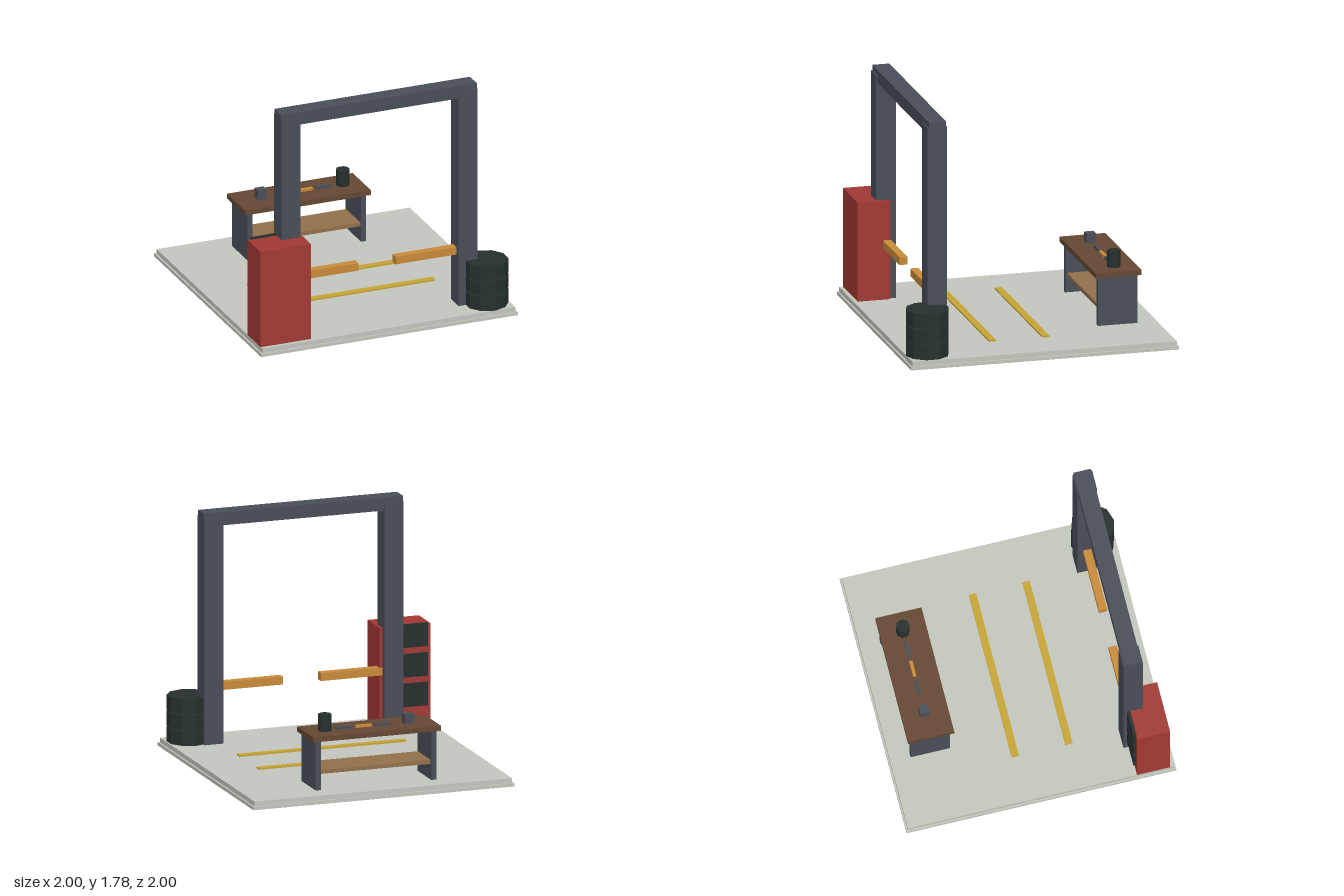
import * as THREE from 'three';

const mat = (name, color) => {
  const m = new THREE.MeshStandardMaterial({ color });
  m.name = name;
  return m;
};

export function createModel() {
  const concrete = mat('concrete', 0xc4c7be);
  const steel = mat('slate steel', 0x4a4e58);
  const red = mat('cabinet red', 0xa23a34);
  const rubber = mat('rubber black', 0x26302f);
  rubber.flatShading = true;
  const orange = mat('orange', 0xc98b3a);
  const yellow = mat('marking yellow', 0xc6a535);
  const darkWood = mat('dark wood', 0x654833);
  const lightWood = mat('light wood', 0x94704c);

  const model = new THREE.Group();
  model.name = 'garageBay';

  // Box given by its extents on each axis
  const box = (name, material, [x0, x1], [y0, y1], [z0, z1], parent = model) => {
    const mesh = new THREE.Mesh(new THREE.BoxGeometry(x1 - x0, y1 - y0, z1 - z0), material);
    mesh.position.set((x0 + x1) / 2, (y0 + y1) / 2, (z0 + z1) / 2);
    mesh.name = name;
    parent.add(mesh);
  };
  // Upright faceted cylinder standing on y
  const drum = (name, radius, height, x, y, z, parent) => {
    const mesh = new THREE.Mesh(new THREE.CylinderGeometry(radius, radius, height, 10), rubber);
    mesh.position.set(x, y + height / 2, z);
    mesh.name = name;
    parent.add(mesh);
  };
  const group = (name) => {
    const g = new THREE.Group();
    g.name = name;
    model.add(g);
    return g;
  };
  // Same x extent on either side
  const side = (s, a, b) => (s > 0 ? [a, b] : [-b, -a]);

  // Floor slab with a stepped rim
  const floor = group('floor');
  box('floorRim', concrete, [-1, 1], [0, 0.025], [-1, 1], floor);
  box('floorSlab', concrete, [-0.987, 0.987], [0.025, 0.06], [-0.987, 0.987], floor);

  // Floor markings
  for (const z of [-0.105, 0.293]) {
    box('floorStripe', yellow, [-0.64, 0.64], [0.06, 0.071], [z - 0.027, z + 0.027]);
  }

  // Two-post lift with a top beam and inward arms
  const lift = group('lift');
  for (const s of [-1, 1]) {
    box('liftPost', steel, side(s, 0.617, 0.763), [0.06, 1.737], [0.667, 0.813], lift);
    box('liftArm', orange, side(s, 0.6, 0.147), [0.447, 0.505], [0.71, 0.77], lift);
  }
  lift.children.filter((m) => m.name === 'liftArm').forEach((m, i) => {
    // Arms reach from each post towards the middle
    m.geometry = new THREE.BoxGeometry(0.475, 0.058, 0.06);
    m.position.x = (i ? 1 : -1) * 0.3825;
  });
  box('liftBeam', steel, [-0.763, 0.763], [1.68, 1.777], [0.675, 0.802], lift);

  // Tool cabinet with drawer fronts on its back
  const cabinet = group('toolCabinet');
  box('cabinetBody', red, [-0.987, -0.594], [0.06, 0.802], [0.712, 0.958], cabinet);
  for (let i = 0; i < 3; i++) {
    const y = 0.2 + i * 0.22;
    box('drawerFront', rubber, [-0.96, -0.62], [y, y + 0.172], [0.692, 0.716], cabinet);
  }

  // Stacked tyres
  const tyres = group('tyreStack');
  for (let i = 0; i < 3; i++) drum('tyre', 0.159, 0.109, 0.825, 0.06 + i * 0.118, 0.832, tyres);

  // Workbench
  const bench = group('workbench');
  box('benchTop', darkWood, [-0.49, 0.49], [0.425, 0.462], [-0.862, -0.52], bench);
  for (const s of [-1, 1]) {
    box('benchLeg', steel, side(s, 0.423, 0.463), [0.06, 0.425], [-0.837, -0.545], bench);
  }
  box('benchShelf', lightWood, [-0.425, 0.425], [0.177, 0.206], [-0.825, -0.557], bench);

  // Things on the bench
  box('viseBlock', steel, [-0.332, -0.262], [0.462, 0.534], [-0.73, -0.66], bench);
  [steel, orange, steel].forEach((m, i) => {
    const x = -0.102 + i * 0.148;
    box('handTool', m, [x - 0.061, x + 0.061], [0.462, 0.48], [-0.707, -0.683], bench);
  });
  drum('oilCan', 0.049, 0.123, 0.342, 0.462, -0.695, bench);

  return model;
}
